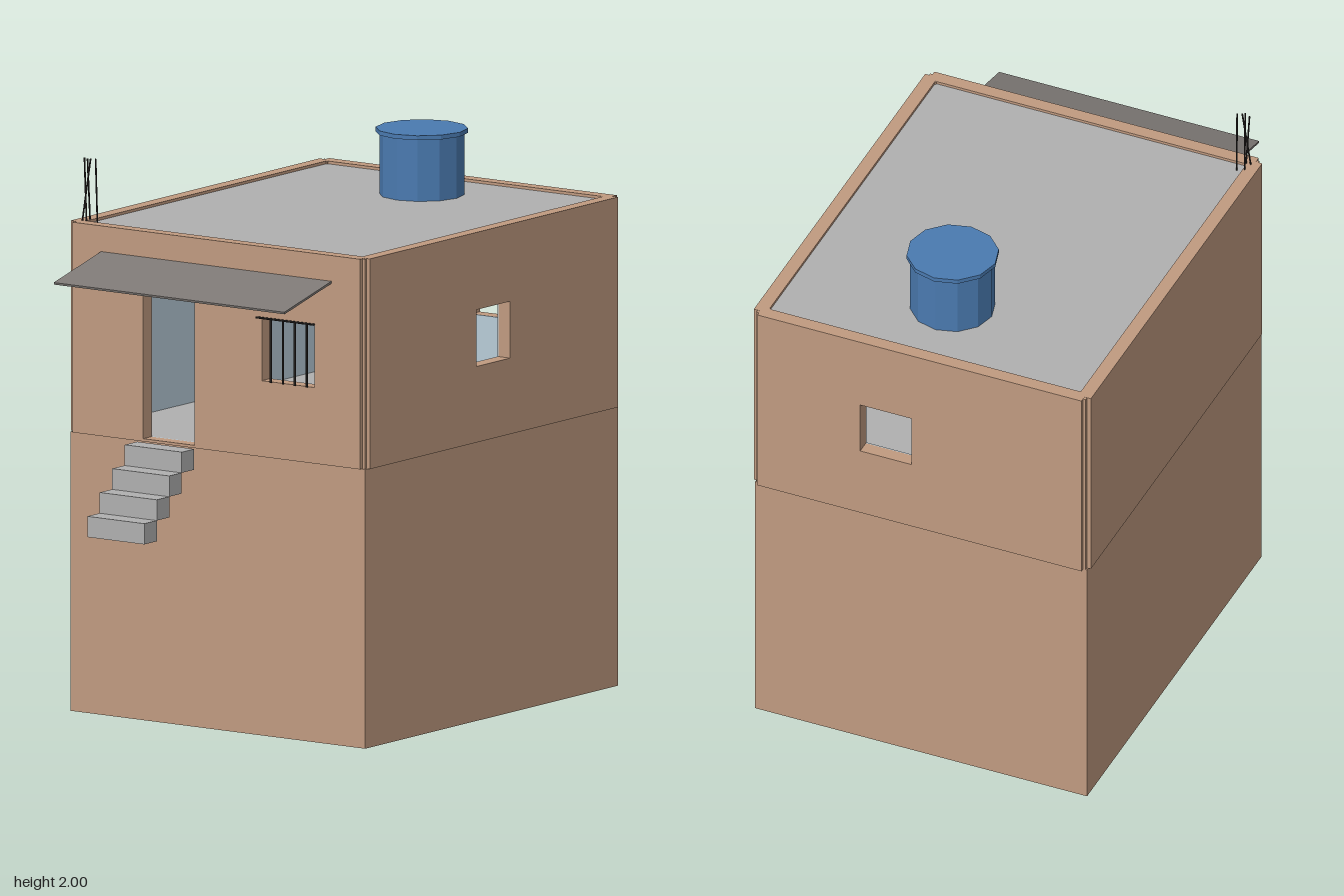
import * as THREE from 'three';

const mat = (color) => new THREE.MeshStandardMaterial({ color, flatShading: true });
const clay = mat(0xc09a80);
const plaster = mat(0xb8ccd8);
const concrete = mat(0xb0b0b0);
const sheet = mat(0x7d7875);
const tankBlue = mat(0x4a7ab0);
const iron = mat(0x2c2826);
const wood = mat(0x6b5040);

function add(parent, name, geometry, material) {
  const mesh = new THREE.Mesh(geometry, material);
  mesh.name = name;
  parent.add(mesh);
  return mesh;
}

// Box given by its minimum and maximum corners
function box(parent, name, a, b, material) {
  const mesh = add(parent, name, new THREE.BoxGeometry(b[0] - a[0], b[1] - a[1], b[2] - a[2]), material);
  mesh.position.set((a[0] + b[0]) / 2, (a[1] + b[1]) / 2, (a[2] + b[2]) / 2);
  return mesh;
}

// Thin round bar between two points
function rod(parent, name, a, b, radius) {
  const p = new THREE.Vector3(...a);
  const d = new THREE.Vector3(...b).sub(p);
  const mesh = add(parent, name, new THREE.CylinderGeometry(radius, radius, d.length(), 6), iron);
  mesh.position.copy(p).addScaledVector(d, 0.5);
  mesh.quaternion.setFromUnitVectors(new THREE.Vector3(0, 1, 0), d.normalize());
  return mesh;
}

// Upright panel with rectangular openings [x0, y0, x1, y1]
function panel(halfWidth, y0, y1, openings, depth) {
  const rect = (Type, l, b, r, t) =>
    new Type([[l, b], [r, b], [r, t], [l, t]].map(([x, y]) => new THREE.Vector2(x, y)));
  const shape = rect(THREE.Shape, -halfWidth, y0, halfWidth, y1);
  shape.holes = openings.map((o) => rect(THREE.Path, ...o));
  return new THREE.ExtrudeGeometry(shape, { depth, bevelEnabled: false });
}

// Outer wall with a plastered inner lining; its outer face is at local z = 0
function wall(parent, name, halfWidth, openings, x, z, angle) {
  const group = new THREE.Group();
  group.name = name;
  add(group, name + 'Shell', panel(halfWidth, 1.01, 1.77, openings, 0.05), clay).position.z = -0.05;
  add(group, name + 'Lining', panel(halfWidth - 0.03, 1.015, 1.73, openings, 0.005), plaster).position.z = -0.055;
  group.position.set(x, 0, z);
  group.rotation.y = angle;
  parent.add(group);
}

export function createModel() {
  const house = new THREE.Group();
  house.name = 'house';

  // Lower storey
  box(house, 'lowerStorey', [-0.645, 0, -0.925], [0.645, 1.01, 0.615], clay);

  // Upper storey walls with door and windows
  const midZ = -0.157;
  wall(house, 'frontWall', 0.63, [[-0.32, 1.02, -0.095, 1.54], [0.2, 1.285, 0.43, 1.515]], 0, 0.625, 0);
  wall(house, 'backWall', 0.63, [[-0.23, 1.285, -0.03, 1.49]], 0, -0.94, Math.PI);
  wall(house, 'rightSideWall', 0.757, [[-0.107, 1.285, 0.098, 1.49]], 0.655, midZ, Math.PI / 2);
  wall(house, 'leftSideWall', 0.757, [], -0.655, midZ, -Math.PI / 2);
  for (const x of [-0.62, 0.62]) {
    for (const z of [-0.905, 0.59]) {
      box(house, 'cornerPost', [x - 0.02, 1.01, z - 0.02], [x + 0.02, 1.769, z + 0.02], clay);
    }
  }

  // Floor and roof slabs
  box(house, 'floor', [-0.61, 1.005, -0.895], [0.61, 1.02, 0.58], concrete);
  box(house, 'roof', [-0.61, 1.715, -0.895], [0.61, 1.76, 0.58], concrete);

  // Small table and stool inside the doorway
  box(house, 'tableTop', [-0.29, 1.105, 0.1], [-0.09, 1.115, 0.3], wood);
  for (const x of [-0.28, -0.1]) {
    for (const z of [0.11, 0.29]) rod(house, 'tableLeg', [x, 1.02, z], [x, 1.105, z], 0.004);
  }
  box(house, 'stool', [-0.185, 1.02, 0.16], [-0.115, 1.1, 0.23], wood);

  // Entrance steps
  for (let i = 0; i < 4; i++) {
    const y = 0.71 + i * 0.075;
    const z = 0.945 - i * 0.076;
    box(house, 'step', [-0.335, y, z - 0.076], [-0.085, y + 0.075, z], concrete);
  }

  // Sloping awning
  const awning = add(house, 'awning', new THREE.BoxGeometry(1.01, 0.008, 0.3), sheet);
  awning.position.set(0, 1.639, 0.766);
  awning.rotation.x = Math.atan2(0.07, 0.29);

  // Window grille
  rod(house, 'grilleRail', [0.185, 1.515, 0.64], [0.44, 1.515, 0.64], 0.004);
  for (const x of [0.25, 0.303, 0.355, 0.407]) {
    rod(house, 'grilleBar', [x, 1.285, 0.64], [x, 1.515, 0.64], 0.004);
  }

  // Water tank with lid
  const tank = new THREE.Group();
  tank.name = 'waterTank';
  tank.position.set(0.02, 0, -0.6);
  add(tank, 'tankBody', new THREE.CylinderGeometry(0.152, 0.152, 0.23, 12), tankBlue).position.y = 1.87;
  add(tank, 'tankLid', new THREE.CylinderGeometry(0.165, 0.165, 0.016, 12), tankBlue).position.y = 1.992;
  house.add(tank);

  // Bare reinforcing bars at the front corner
  rod(house, 'rebar', [-0.6, 1.75, 0.58], [-0.622, 1.995, 0.563], 0.003);
  rod(house, 'rebar', [-0.622, 1.75, 0.58], [-0.592, 1.995, 0.567], 0.003);
  rod(house, 'rebar', [-0.583, 1.75, 0.538], [-0.575, 1.995, 0.56], 0.003);
  rod(house, 'rebar', [-0.613, 1.75, 0.54], [-0.6, 1.995, 0.575], 0.003);

  return house;
}
